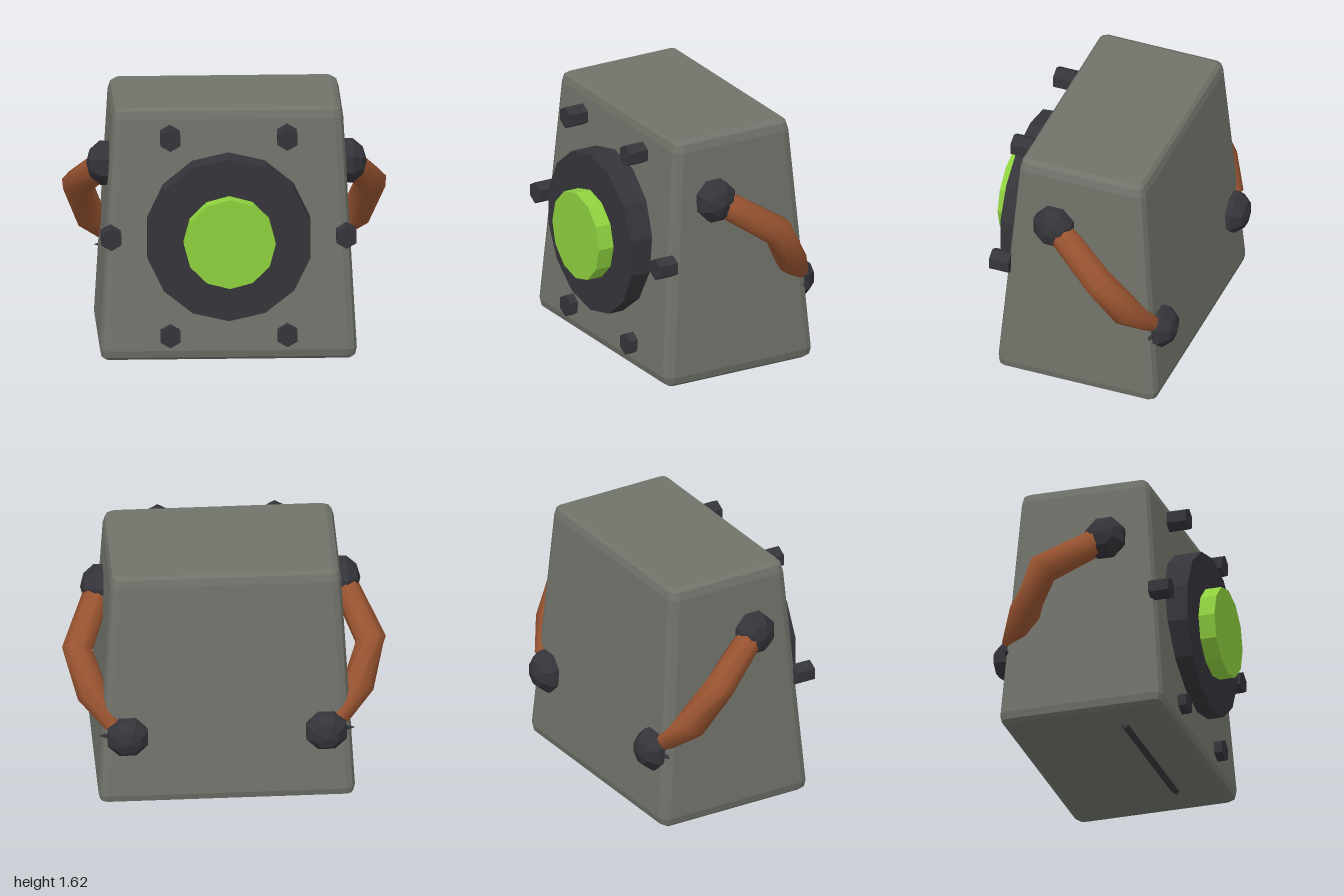
import * as THREE from 'three';

const V = (x, y, z) => new THREE.Vector3(x, y, z);
const mat = (color, flatShading = true) => new THREE.MeshStandardMaterial({ color, flatShading });

// Skin a stack of closed rings (counter-clockwise about the stacking direction) and cap both ends
function loft(rings) {
  const n = rings[0].length, pos = [], idx = [];
  rings.forEach(r => r.forEach(p => pos.push(p.x, p.y, p.z)));
  for (let i = 0; i < rings.length - 1; i++) {
    for (let j = 0; j < n; j++) {
      const k = (j + 1) % n;
      const a = i * n + j, b = i * n + k, c = a + n, d = b + n;
      idx.push(a, b, d, a, d, c);
    }
  }
  const top = (rings.length - 1) * n;
  for (let j = 1; j < n - 1; j++) idx.push(0, j + 1, j, top, top + j, top + j + 1);
  const g = new THREE.BufferGeometry();
  g.setAttribute('position', new THREE.Float32BufferAttribute(pos, 3));
  g.setIndex(idx);
  g.computeVertexNormals();
  return g;
}

// Horizontal rectangle with two-step rounded corners
function bodyRing(y, hx, hz, r) {
  const pts = [];
  for (let q = 0; q < 4; q++) {
    const sx = q === 0 || q === 3 ? 1 : -1, sz = q < 2 ? -1 : 1;
    for (let k = 0; k < 3; k++) {
      const a = (q + k / 2) * Math.PI / 2;
      pts.push(V(sx * (hx - r) + r * Math.cos(a), y, -0.05 + sz * (hz - r) - r * Math.sin(a)));
    }
  }
  return pts;
}

// Round arm following a path with a radius per point
function armGeometry(path, radii, sides = 8) {
  return loft(path.map((p, i) => {
    const prev = path[Math.max(i - 1, 0)], next = path[Math.min(i + 1, path.length - 1)];
    const t = next.clone().sub(prev).normalize();
    const u = V(0, 1, 0).cross(t).normalize(), v = t.clone().cross(u);
    return Array.from({ length: sides }, (_, j) => {
      const a = (j + 0.5) / sides * Math.PI * 2;
      return p.clone().addScaledVector(u, radii[i] * Math.cos(a)).addScaledVector(v, radii[i] * Math.sin(a));
    });
  }));
}

export function createModel() {
  const model = new THREE.Group();
  const grey = mat(0x70736a), dark = mat(0x34343a), green = mat(0x8ed03e), brown = mat(0x985330, false);
  const add = (name, geometry, material, parent = model) => {
    const m = new THREE.Mesh(geometry, material);
    m.name = name;
    parent.add(m);
    return m;
  };
  // Prism whose axis points forward, spanning z0 to z1, with a corner on top
  const frontPrism = (name, x, y, z0, z1, r, sides, material, parent) => {
    const g = new THREE.CylinderGeometry(r, r, z1 - z0, sides).rotateX(Math.PI / 2);
    add(name, g, material, parent).position.set(x, y, (z0 + z1) / 2);
  };

  // Tapered body with bevelled edges
  add('body', loft([
    bodyRing(0.025, 0.765, 0.49, 0.025),
    bodyRing(0.045, 0.79, 0.522, 0.045),
    bodyRing(0.09, 0.8, 0.533, 0.055),
    bodyRing(1.55, 0.72, 0.418, 0.055),
    bodyRing(1.6, 0.705, 0.405, 0.045),
    bodyRing(1.62, 0.67, 0.385, 0.025),
  ]), grey);

  // Front ring and glowing centre
  frontPrism('frontDisc', 0, 0.82, 0.3, 0.565, 0.52, 14, dark);
  frontPrism('frontLens', 0, 0.82, 0.5, 0.67, 0.286, 12, green);

  // Six hexagonal bolts
  const bolts = new THREE.Group();
  bolts.name = 'bolts';
  model.add(bolts);
  for (const s of [1, -1]) {
    for (const [x, y] of [[0.365, 1.455], [0.733, 0.82], [0.365, 0.19]]) {
      frontPrism('bolt', s * x, y, 0.4, 0.53, 0.071, 6, dark, bolts);
    }
  }

  // Thin tilted strip under the body
  const strip = add('bottomStrip', new THREE.BoxGeometry(1.03, 0.03, 0.06), dark);
  strip.position.set(0, 0.032, 0.15);
  strip.rotation.x = 0.65;

  // Arms with a knob at each end
  for (const s of [1, -1]) {
    const arm = new THREE.Group();
    arm.name = s > 0 ? 'leftArm' : 'rightArm';
    model.add(arm);
    const path = [V(0.77, 1.19, 0.07), V(0.915, 0.98, -0.25), V(0.83, 0.74, -0.395), V(0.71, 0.585, -0.53)];
    path.forEach(p => { p.x *= s; });
    add('armTube', armGeometry(path, [0.085, 0.1, 0.1, 0.055]), brown, arm);

    const side = new THREE.SphereGeometry(0.147, 8, 5).rotateY(Math.PI / 8).rotateZ(Math.PI / 2);
    side.scale(0.85, 1, 0.96);
    add('sideKnob', side, dark, arm).position.set(s * 0.75, 1.208, 0.108);

    const back = new THREE.SphereGeometry(0.143, 8, 5).rotateY(Math.PI / 8).rotateX(Math.PI / 2);
    back.scale(1, 1, 0.86);
    add('backKnob', back, dark, arm).position.set(s * 0.62, 0.513, -0.542);

    // Small point reaching round the rear corner
    const point = add('knobPoint', new THREE.ConeGeometry(0.06, 0.16, 5), dark, arm);
    point.position.set(s * 0.72, 0.513, -0.535);
    point.rotation.z = -s * Math.PI / 2;
  }
  return model;
}
